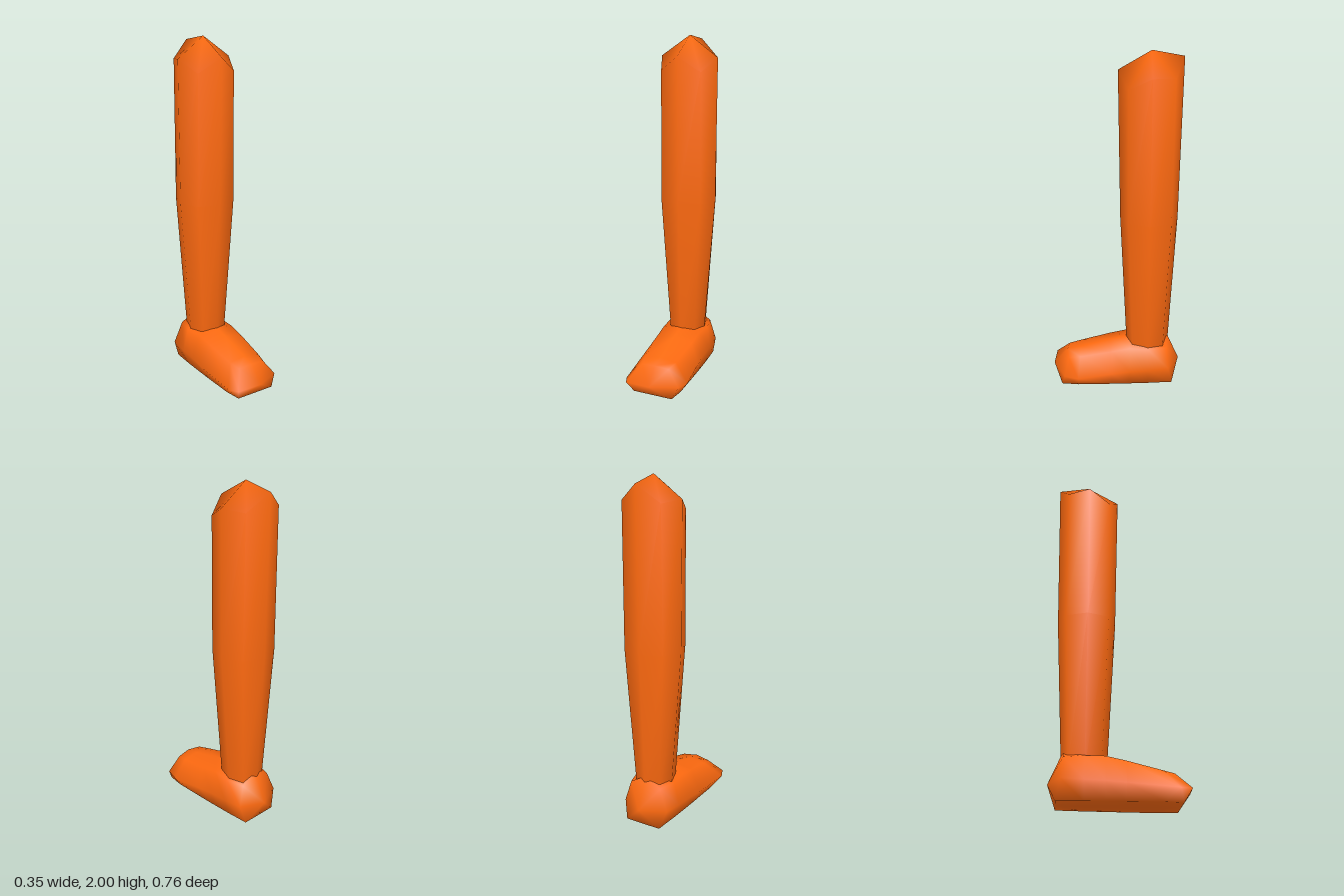
import * as THREE from 'three';

// Skin equal-length rings (counterclockwise seen from the end side) and close both ends with a centre point.
function loft(rings, startPoint, endPoint) {
  const n = rings[0].length, last = (rings.length - 1) * n, index = [];
  const points = [...rings.flat(), startPoint, endPoint];
  for (let j = 0; j < n; j++) {
    const k = (j + 1) % n;
    for (let i = 0; i < last; i += n) {
      index.push(i + j, i + k, i + n + k, i + j, i + n + k, i + n + j);
    }
    index.push(k, j, last + n);
    index.push(last + j, last + k, last + n + 1);
  }
  const geometry = new THREE.BufferGeometry();
  geometry.setAttribute('position', new THREE.Float32BufferAttribute(points.flat(), 3));
  geometry.setIndex(index);
  geometry.computeVertexNormals();
  return geometry;
}

// Eight-sided ring of the leg; heights are for front, front diagonal, side, back diagonal, back.
function legRing(rx, rz, diagonal, heights) {
  const cz = -0.187, ring = [];
  for (let i = 0; i < 8; i++) {
    const a = i * Math.PI / 4, s = i % 2 ? diagonal : 1;
    ring.push([rx * s * Math.sin(a), heights[Math.min(i, 8 - i)], cz + rz * s * Math.cos(a)]);
  }
  return ring;
}

// Foot section: sole, widest side line, top edge and central ridge.
function footRing({ base, side, top, ridge }) {
  const [bw, bz] = base, [xl, xr, sy, zl, zr] = side, [tw, ty, tz] = top, [ry, rz] = ridge;
  return [
    [-bw, 0, bz], [0, 0, bz], [bw, 0, bz], [xr, sy, zr],
    [tw, ty, tz], [0, ry, rz], [-tw, ty, tz], [xl, sy, zl],
  ];
}

export function createModel() {
  const group = new THREE.Group();
  const material = new THREE.MeshStandardMaterial({ color: 0xff6a10 });
  const add = (name, geometry) => {
    const mesh = new THREE.Mesh(geometry, material);
    mesh.name = name;
    group.add(mesh);
  };

  // Leg: tapered shin, straighter thigh, irregular pointed top
  const level = (y) => [y, y, y, y, y];
  add('leg', loft([
    legRing(0.103, 0.122, 1.03, level(0.17)),
    legRing(0.168, 0.165, 1.04, level(1.05)),
    legRing(0.172, 0.179, 0.99, [1.895, 1.81, 1.88, 1.87, 1.968]),
  ], [0, 0.17, -0.19], [0, 2, -0.19]));

  // Foot: sections from heel to toe
  const sections = [
    { base: [0.11, -0.335], side: [-0.15, 0.135, 0.11, -0.312, -0.312], top: [0.1, 0.235, -0.3], ridge: [0.293, -0.3] },
    { base: [0.12, -0.19], side: [-0.16, 0.143, 0.1, -0.19, -0.19], top: [0.127, 0.238, -0.19], ridge: [0.24, -0.19] },
    { base: [0.125, -0.07], side: [-0.166, 0.147, 0.095, -0.08, -0.08], top: [0.118, 0.24, -0.08], ridge: [0.263, -0.07] },
    { base: [0.128, 0.03], side: [-0.175, 0.155, 0.085, 0.03, 0.03], top: [0.115, 0.218, 0.03], ridge: [0.24, 0.03] },
    { base: [0.132, 0.23], side: [-0.177, 0.175, 0.065, 0.31, 0.23], top: [0.1, 0.175, 0.22], ridge: [0.188, 0.22] },
    { base: [0.12, 0.33], side: [-0.15, 0.155, 0.07, 0.372, 0.312], top: [0.085, 0.162, 0.29], ridge: [0.172, 0.3] },
  ];
  add('foot', loft(sections.map(footRing), [0, 0.11, -0.38], [0, 0.075, 0.382]));

  return group;
}
